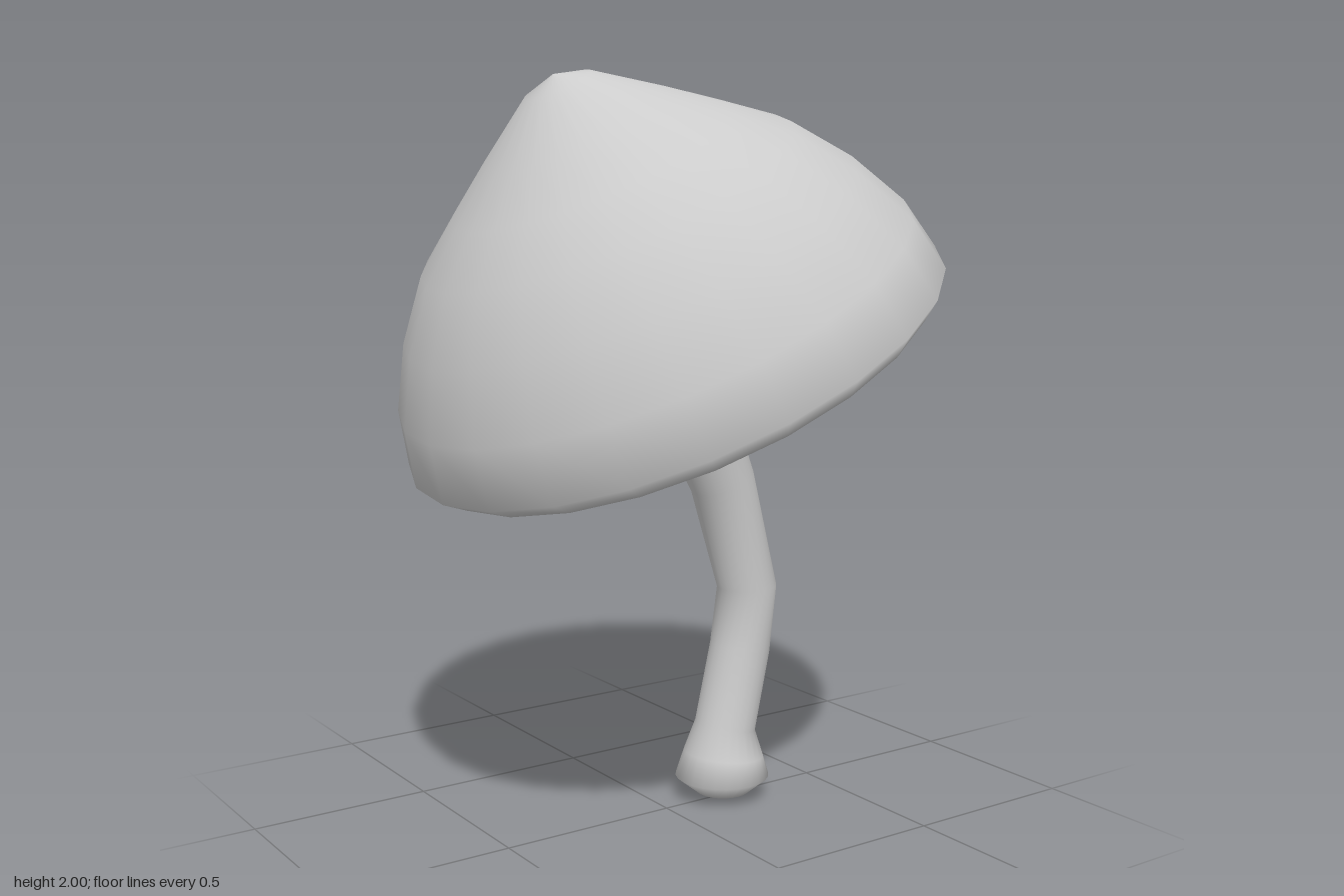
import * as THREE from 'three';

const TILT = 0.457;                 // lean of the cap
const CAP = [0.03, 1.23];           // centre of the cap rim
const SECTORS = 24;

const material = (extra = {}) => new THREE.MeshStandardMaterial({ color: 0xcccccc, ...extra });

function named(name, geometry, mat) {
  const mesh = new THREE.Mesh(geometry, mat);
  mesh.name = name;
  return mesh;
}

// Domed cap with a rolled rim
function capGeometry() {
  const profile = [
    [0.68, 0.01], [0.708, -0.005], [0.758, 0.043], [0.72, 0.192], [0.63, 0.354], [0.514, 0.5],
    [0.385, 0.6], [0.258, 0.695], [0.09, 0.814], [0.0001, 0.842],
  ].map(([r, y]) => new THREE.Vector2(r, y));
  return new THREE.LatheGeometry(profile, SECTORS);
}

// Underside: every second sector is sunk, with walls around the recess
function gillGeometry() {
  const profile = [[0.685, 0.005], [0.67, 0.015], [0.56, 0.085], [0.41, 0.14], [0.25, 0.165], [0.165, 0.165]];
  const depth = 0.045;
  const pos = [];
  const point = (i, angle, lift) => {
    const [r, y] = profile[i];
    return [r * Math.sin(angle), y + lift, r * Math.cos(angle)];
  };
  const quad = (a, b, c, d) => pos.push(...a, ...b, ...c, ...a, ...c, ...d);
  const last = profile.length - 1;

  for (let k = 0; k < SECTORS; k++) {
    const a = (k / SECTORS) * Math.PI * 2;
    const b = ((k + 1) / SECTORS) * Math.PI * 2;
    const sunk = k % 2 === 0;
    for (let i = 0; i < last; i++) {
      const lift = sunk && i > 0 ? depth : 0;
      quad(point(i, a, lift), point(i + 1, a, lift), point(i + 1, b, lift), point(i, b, lift));
      if (lift) {
        quad(point(i, a, 0), point(i + 1, a, 0), point(i + 1, a, lift), point(i, a, lift));
        quad(point(i, b, 0), point(i, b, lift), point(i + 1, b, lift), point(i + 1, b, 0));
      }
    }
    if (sunk) {
      quad(point(1, a, 0), point(1, a, depth), point(1, b, depth), point(1, b, 0));
      quad(point(last, a, 0), point(last, b, 0), point(last, b, depth), point(last, a, depth));
    }
  }
  const geometry = new THREE.BufferGeometry();
  geometry.setAttribute('position', new THREE.Float32BufferAttribute(pos, 3));
  geometry.computeVertexNormals();
  return geometry;
}

// Bent stem lofted through tilted rings: x, y, radius, tilt
function stemGeometry() {
  const top = (v) => [CAP[0] - Math.sin(TILT) * v, CAP[1] + Math.cos(TILT) * v];
  const rings = [
    [0.19, 0.005, 0.0001, 0], [0.192, 0.02, 0.075, 0], [0.19, 0.067, 0.132, 0],
    [0.195, 0.13, 0.113, -0.1], [0.2, 0.21, 0.086, -0.2],
    [0.25, 0.43, 0.085, -0.17], [0.273, 0.605, 0.084, 0.03], [0.186, 0.91, 0.09, 0.35],
    [0.092, 1.11, 0.105, 0.45], [...top(0), 0.119, TILT],
    [...top(0.09), 0.138, TILT], [...top(0.168), 0.168, TILT], [...top(0.168), 0.0001, TILT],
  ].map((r) => r.flat());
  const sides = SECTORS;
  const geometry = new THREE.CylinderGeometry(1, 1, 1, sides, rings.length - 1, true);
  const p = geometry.attributes.position;
  for (let j = 0; j < rings.length; j++) {
    const [x, y, r, tilt] = rings[rings.length - 1 - j];
    for (let i = 0; i <= sides; i++) {
      const a = (i / sides) * Math.PI * 2;
      const u = r * Math.sin(a);
      p.setXYZ(j * (sides + 1) + i, x + u * Math.cos(tilt), y + u * Math.sin(tilt), r * Math.cos(a));
    }
  }
  geometry.computeVertexNormals();
  // Match normals along the seam
  const n = geometry.attributes.normal;
  for (let j = 0; j < rings.length; j++) {
    const s = j * (sides + 1), e = s + sides;
    const v = new THREE.Vector3().fromBufferAttribute(n, s)
      .add(new THREE.Vector3().fromBufferAttribute(n, e)).normalize();
    n.setXYZ(s, v.x, v.y, v.z);
    n.setXYZ(e, v.x, v.y, v.z);
  }
  return geometry;
}

export function createModel() {
  const model = new THREE.Group();
  model.name = 'mushroom';

  const head = new THREE.Group();
  head.name = 'head';
  head.add(named('cap', capGeometry(), material()));
  head.add(named('gills', gillGeometry(), material({ flatShading: true, side: THREE.DoubleSide })));
  head.position.set(CAP[0], CAP[1], 0);
  head.rotation.z = TILT;

  model.add(head, named('stem', stemGeometry(), material()));
  return model;
}
